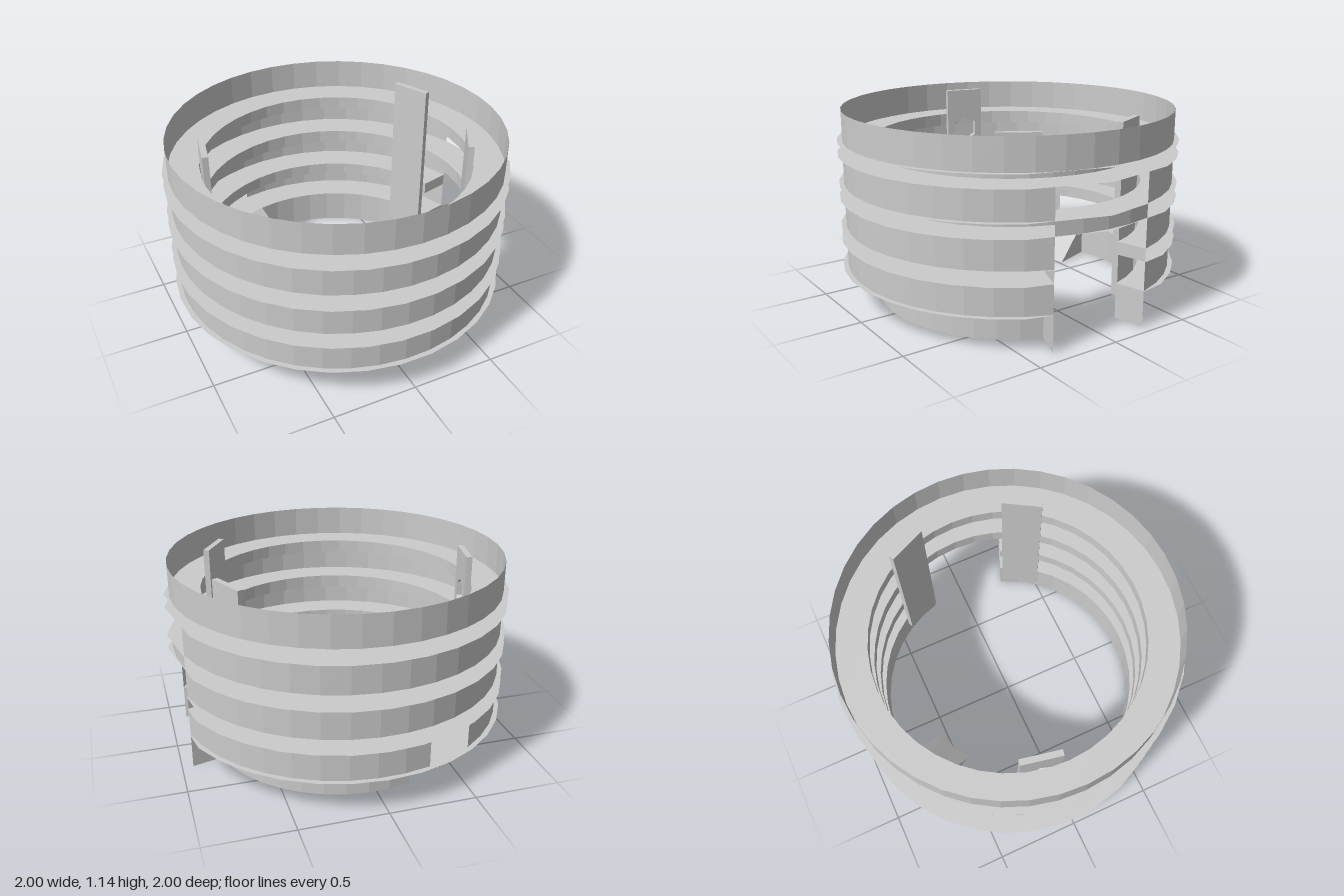
import * as THREE from 'three';

const material = new THREE.MeshStandardMaterial({ color: 0xcccccc, flatShading: true, side: THREE.DoubleSide });
const rad = THREE.MathUtils.degToRad;
const R_IN = 0.79, R_OUT = 0.97, R_RIM = 1.0;

// Angles are in degrees from +x towards +z
const CUT = [-15, 21];        // tall opening on the left side
const NOTCH = [237.7, 255.4]; // small opening low at the back

const polar = (r, a, y) => [r * Math.cos(rad(a)), y, r * Math.sin(rad(a))];
const point = (r, a) => new THREE.Vector2(r * Math.cos(rad(a)), r * Math.sin(rad(a)));

function arc(r, a0, a1, n) {
  return Array.from({ length: n + 1 }, (_, i) => point(r, a0 + (a1 - a0) * i / n));
}

// Thin cylindrical wall between two angles
function wall(r, y0, y1, a0, a1) {
  const n = Math.max(2, Math.round((a1 - a0) / 9));
  const g = new THREE.CylinderGeometry(r, r, y1 - y0, n, 1, true, rad(90 - a1), rad(a1 - a0));
  return g.translate(0, (y0 + y1) / 2, 0);
}

const flat = (shape, y) => new THREE.ShapeGeometry(shape).rotateX(Math.PI / 2).translate(0, y, 0);

// Flat ring; its outer edge is coarse beside the tall opening
function fullDisc(y) {
  const shape = new THREE.Shape([...arc(R_RIM, 30, 336, 28), point(R_RIM, 3)]);
  shape.holes.push(new THREE.Path(arc(R_IN, 360, 0, 40).slice(0, -1)));
  return flat(shape, y);
}

// The same ring interrupted by the tall opening
function openDisc(y) {
  const shape = new THREE.Shape([
    point(0.975, CUT[1]), ...arc(R_RIM, 30, 336, 28), point(0.975, CUT[0]),
    ...arc(R_IN, CUT[0] + 360, CUT[1], 36),
  ]);
  return flat(shape, y);
}

// Triangle or quad from corner points
function panel(...p) {
  const g = new THREE.BufferGeometry();
  const order = p.length === 4 ? [0, 1, 2, 0, 2, 3] : [0, 1, 2];
  g.setAttribute('position', new THREE.Float32BufferAttribute(order.flatMap((i) => p[i]), 3));
  g.computeVertexNormals();
  return g;
}

// Upright plate standing against the inner wall, optionally with a hexagonal hole
function plate(angle, withHole) {
  const w = 0.118;
  const shape = new THREE.Shape([[-w, 0.13], [w, 0.13], [w, 1.12], [-w, 1.12]]
    .map(([x, y]) => new THREE.Vector2(x, y)));
  if (withHole) {
    const hex = [30, 90, 150, 210, 270, 330].map((a) => point(0.085, a).add(new THREE.Vector2(0, 0.86)));
    shape.holes.push(new THREE.Path(hex));
  }
  return new THREE.ExtrudeGeometry(shape, { depth: 0.035, bevelEnabled: false })
    .translate(0, 0, 0.743).rotateY(rad(90 - angle));
}

export function createModel() {
  const model = new THREE.Group();
  const add = (name, geometry) => {
    const mesh = new THREE.Mesh(geometry, material);
    mesh.name = name;
    model.add(mesh);
  };

  // Corrugated wall: narrow and wide bands alternate upwards
  const levels = [0, 0.21, 0.38, 0.455, 0.63, 0.71, 0.885, 0.96, 1.14];
  for (let i = 0; i < 8; i++) {
    const r = i % 2 ? R_OUT : R_IN;
    const name = i % 2 ? 'wideBand' : 'narrowBand';
    const [y0, y1] = [levels[i], levels[i + 1]];
    if (i < 2) {
      add(name, wall(r, y0, y1, CUT[1], NOTCH[0]));
      add(name, wall(r, y0, y1, NOTCH[1], CUT[0] + 360));
    } else if (i === 4 || i > 5) {
      add(name, wall(r, y0, y1, 0, 360));
    } else {
      add(name, wall(r, y0, y1, CUT[1], CUT[0] + 360));
    }
  }

  // Flat rings joining the bands
  for (const y of levels.slice(1, 4)) add('openRing', openDisc(y));
  for (const y of levels.slice(4, 8)) add('ring', fullDisc(y));

  // Strip crossing the tall opening
  add('bridge', wall(R_OUT, 0.63, 0.71, CUT[0], CUT[1]));

  // Radial panels closing the grooves at the sides of the opening
  for (const a of CUT) {
    for (const [y0, y1] of [[0, 0.21], [0.38, 0.455]]) {
      add('jamb', panel(polar(R_IN, a, y0), polar(R_OUT, a, y0), polar(R_OUT, a, y1), polar(R_IN, a, y1)));
    }
  }

  // Inner upright plates
  add('plateWithHole', plate(191.7, true));
  for (const a of [-25, 31]) add('plate', plate(a, false));

  // Wedge sloping inwards from the small notch
  const inner = [[-0.33, 0, -0.43], [-0.11, 0, -0.52]];
  const mid = (NOTCH[0] + NOTCH[1]) / 2;
  const innerMid = [-0.225, 0, -0.495];
  add('ramp', panel(polar(R_IN, NOTCH[0], 0.21), polar(R_IN, mid, 0.21), innerMid, inner[0]));
  add('ramp', panel(polar(R_IN, mid, 0.21), polar(R_IN, NOTCH[1], 0.21), inner[1], innerMid));
  NOTCH.forEach((a, i) => add('rampSide', panel(polar(R_IN, a, 0), polar(R_IN, a, 0.21), inner[i])));

  return model;
}
